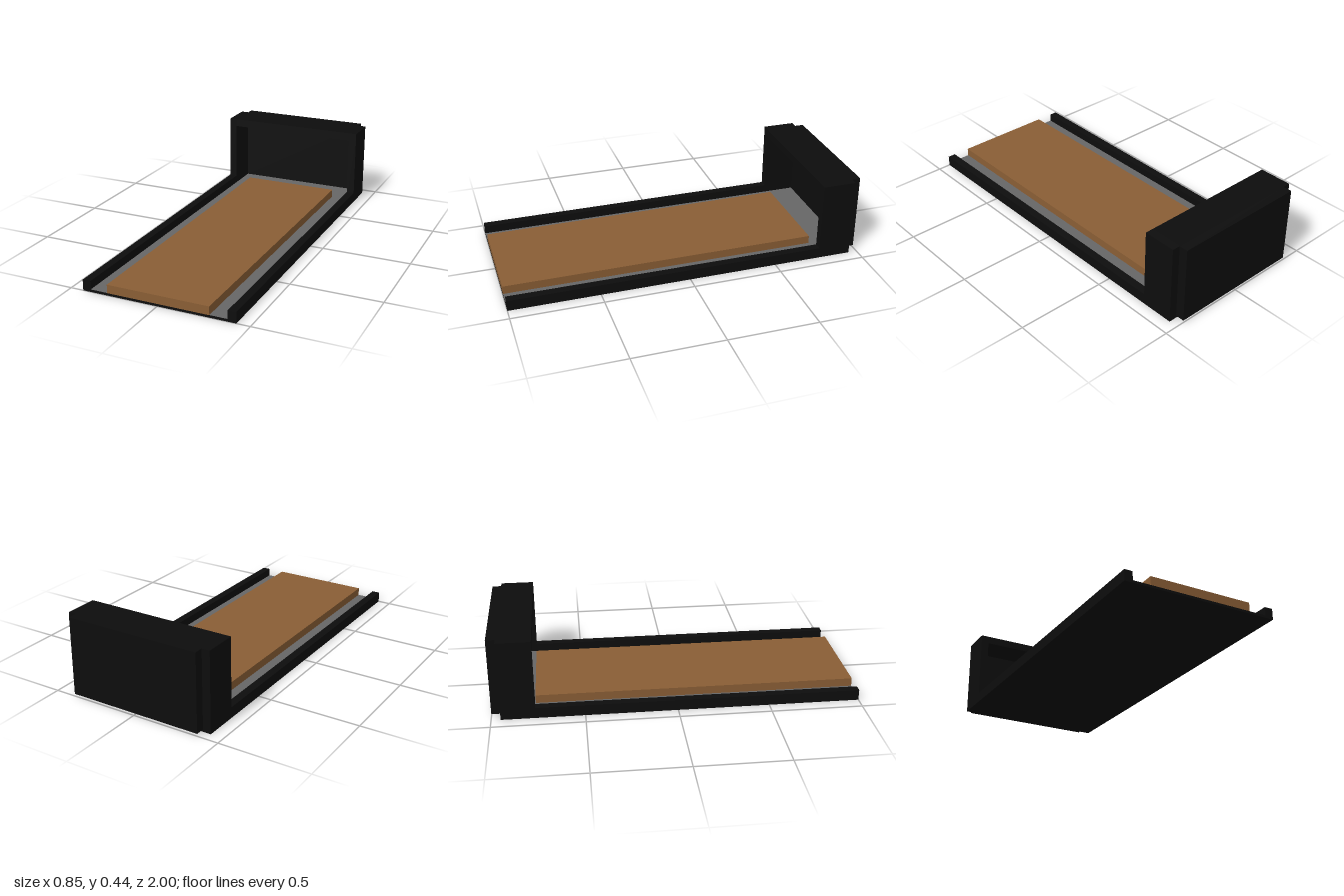
import * as THREE from 'three';

export function createModel() {
  const group = new THREE.Group();
  const mat = (name, color) => {
    const m = new THREE.MeshStandardMaterial({ color });
    m.name = name;
    return m;
  };
  const black = mat('black', 0x0d0d0d);
  const grey = mat('grey', 0x666666);
  const brown = mat('brown', 0x8a5e35);

  // Box given by its minimum and maximum on each axis
  const box = (name, material, [x0, x1], [y0, y1], [z0, z1]) => {
    const mesh = new THREE.Mesh(new THREE.BoxGeometry(x1 - x0, y1 - y0, z1 - z0), material);
    mesh.position.set((x0 + x1) / 2, (y0 + y1) / 2, (z0 + z1) / 2);
    mesh.name = name;
    group.add(mesh);
  };

  const W = 0.427, IN = 0.382, H = 0.445, FLOOR = 0.013;
  const hoodFront = -0.765, hoodBack = -0.95;

  // Floor tray with its grey lining
  box('floor', black, [-W, W], [0, FLOOR], [hoodBack, 1]);
  const lining = new THREE.Mesh(new THREE.PlaneGeometry(2 * IN, 1 - hoodBack), grey);
  lining.rotation.x = -Math.PI / 2;
  lining.position.set(0, FLOOR + 0.001, (1 + hoodBack) / 2);
  lining.name = 'floorLining';
  group.add(lining);

  // Low rails along the sides, rising into the hood walls
  for (const [side, s] of [['left', 1], ['right', -1]]) {
    const xs = [s * IN, s * W].sort((a, b) => a - b);
    box(side + 'Rail', black, xs, [FLOOR, 0.06], [hoodFront, 1]);
    box(side + 'HoodWall', black, xs, [FLOOR, H], [hoodBack, hoodFront]);
  }

  // Hood lid and back panel
  box('hoodLid', black, [-IN, IN], [H - 0.045, H], [hoodBack, hoodFront]);
  box('backPanel', black, [-IN, IN], [FLOOR, H], [-1, hoodBack]);

  // Wooden slab resting on the floor
  box('slab', brown, [-0.285, 0.285], [FLOOR, 0.06], [hoodFront, 1]);

  return group;
}
